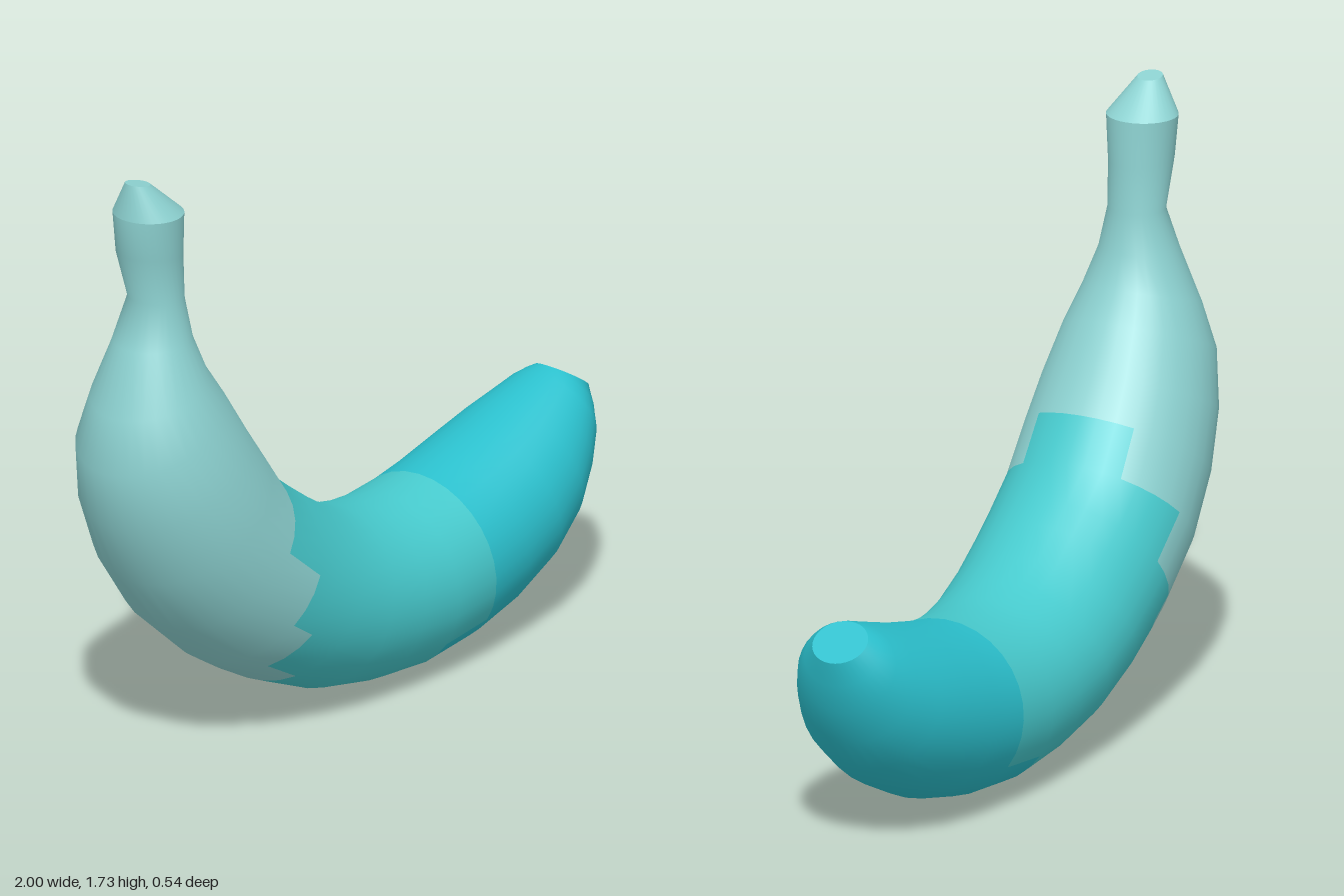
import * as THREE from 'three';

const SEG = 32;

// Each ring: outer x, outer y, inner x, inner y, half width in z
const TIP = [
  [-0.89, 1.73, -0.82, 1.72, 0.035],
  [-0.905, 1.63, -0.715, 1.63, 0.1],
];
const BODY = [
  TIP[1],
  [-0.9, 1.52, -0.71, 1.5, 0.09],
  [-0.85, 1.375, -0.705, 1.37, 0.082],
  [-0.9, 1.25, -0.685, 1.26, 0.112],
  [-0.965, 1.07, -0.65, 1.17, 0.165],
  [-1.0, 0.92, -0.595, 1.09, 0.21],
  [-0.965, 0.75, -0.52, 0.97, 0.245],
  [-0.885, 0.57, -0.45, 0.87, 0.263],
  [-0.76, 0.4, -0.37, 0.755, 0.27],
  [-0.59, 0.255, -0.27, 0.68, 0.27],
  [-0.51, 0.205, -0.2, 0.63, 0.27],
  [-0.39, 0.14, -0.1, 0.565, 0.27],
  [-0.2, 0.06, 0, 0.525, 0.267],
  [0, 0.02, 0.1, 0.505, 0.263],
  [0.19, 0.005, 0.2, 0.5, 0.26],
  [0.38, 0.025, 0.335, 0.515, 0.255],
  [0.56, 0.07, 0.45, 0.54, 0.248],
  [0.71, 0.14, 0.58, 0.573, 0.24],
  [0.83, 0.23, 0.7, 0.61, 0.215],
  [0.91, 0.33, 0.78, 0.635, 0.18],
  [0.96, 0.43, 0.84, 0.654, 0.148],
  [0.985, 0.51, 0.87, 0.662, 0.113],
  [1.0, 0.58, 0.88, 0.665, 0.08],
];

// Elliptical rings joined into a tube; angle 0 lies on the inner curve
function loft(rings) {
  const pos = [], index = [];
  rings.forEach(([ox, oy, ix, iy, w], i) => {
    for (let j = 0; j < SEG; j++) {
      const a = (j / SEG) * Math.PI * 2, c = Math.cos(a);
      pos.push((ox + ix) / 2 + c * (ix - ox) / 2, (oy + iy) / 2 + c * (iy - oy) / 2, Math.sin(a) * w);
      if (i === rings.length - 1) continue;
      const p = i * SEG + j, q = i * SEG + (j + 1) % SEG;
      index.push(p, q, p + SEG, q, q + SEG, p + SEG);
    }
  });
  const g = new THREE.BufferGeometry();
  g.setAttribute('position', new THREE.Float32BufferAttribute(pos, 3));
  g.setIndex(index);
  g.computeVertexNormals();
  return g;
}

// Flat end face over one ring
function cap(ring, atStart) {
  const g = loft([ring]);
  const index = [];
  for (let j = 1; j < SEG - 1; j++) index.push(0, ...(atStart ? [j + 1, j] : [j, j + 1]));
  g.setIndex(index);
  g.computeVertexNormals();
  return g;
}

// Colour zone of a quad: 0 stem end, 1 middle, 2 far end, with stepped borders
function zone(i, j) {
  const k = Math.min(j, SEG - 1 - j); // strips counted from the inner curve
  const midStart = 7 + [3, 7, 10, 13].filter((n) => k >= n).length;
  const endStart = k >= 11 ? 14 : 15;
  return i < midStart ? 0 : i < endStart ? 1 : 2;
}

export function createModel() {
  const group = new THREE.Group();
  group.name = 'banana';
  const mats = [0x8dd2d1, 0x47cacd, 0x2bc0cd].map((color) => new THREE.MeshStandardMaterial({ color }));
  const add = (name, geometry, mat) => {
    const m = new THREE.Mesh(geometry, mat);
    m.name = name;
    group.add(m);
  };

  // Body zones share vertices and normals, so shading stays smooth across borders
  const body = loft(BODY);
  ['stemBody', 'middleBody', 'endBody'].forEach((name, z) => {
    const g = new THREE.BufferGeometry();
    g.setAttribute('position', body.attributes.position);
    g.setAttribute('normal', body.attributes.normal);
    const index = [];
    for (let q = 0; q < (BODY.length - 1) * SEG; q++) {
      if (zone(Math.floor(q / SEG), q % SEG) !== z) continue;
      for (let n = 0; n < 6; n++) index.push(body.index.getX(q * 6 + n));
    }
    g.setIndex(index);
    add(name, g, mats[z]);
  });

  // Stem tip with a hard edge, and the two end faces
  add('stemTip', loft(TIP), mats[0]);
  add('stemCap', cap(TIP[0], true), mats[0]);
  add('endCap', cap(BODY[BODY.length - 1], false), mats[2]);
  return group;
}
